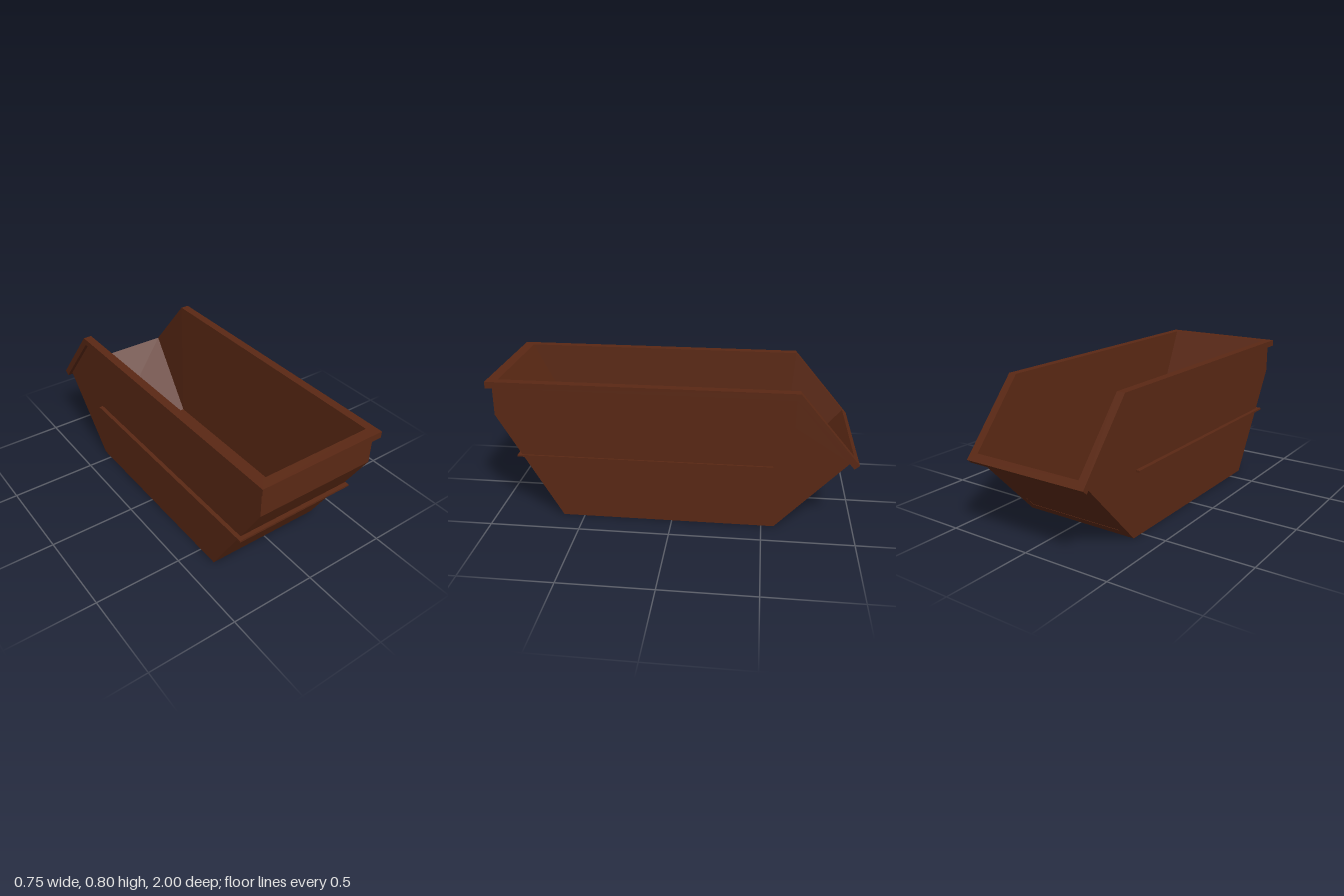
import * as THREE from 'three';

// Mirrored six-point ring from three stations [z, y]: front, bend, rear
function ring(halfWidth, front, bend, rear) {
  const side = [front, bend, rear].map(([z, y]) => new THREE.Vector3(halfWidth, y, z));
  const mirrored = side.map((p) => new THREE.Vector3(-p.x, p.y, p.z)).reverse();
  return [...side, ...mirrored];
}

// Faceted skin through a stack of rings, with optional end caps
function skin(rings, { capStart = false, capEnd = false } = {}) {
  const positions = [];
  const triangle = (a, b, c) => {
    const area = b.clone().sub(a).cross(c.clone().sub(a)).length();
    if (area > 1e-6) for (const p of [a, b, c]) positions.push(p.x, p.y, p.z);
  };
  for (let k = 0; k < rings.length - 1; k++) {
    const a = rings[k], b = rings[k + 1], n = a.length;
    for (let i = 0; i < n; i++) {
      const j = (i + 1) % n;
      triangle(a[i], a[j], b[j]);
      triangle(a[i], b[j], b[i]);
    }
  }
  const first = rings[0], last = rings[rings.length - 1];
  for (let i = 1; i < first.length - 1; i++) {
    if (capStart) triangle(first[0], first[i + 1], first[i]);
    if (capEnd) triangle(last[0], last[i], last[i + 1]);
  }
  const geometry = new THREE.BufferGeometry();
  geometry.setAttribute('position', new THREE.Float32BufferAttribute(positions, 3));
  geometry.computeVertexNormals();
  return geometry;
}

export function createModel() {
  const group = new THREE.Group();
  const material = new THREE.MeshStandardMaterial({ color: 0x5a2814, flatShading: true });
  const add = (name, geometry) => {
    const mesh = new THREE.Mesh(geometry, material);
    mesh.name = name;
    group.add(mesh);
  };

  // Rings from the underside, up over the rim and down to the inner floor
  const base = ring(0.35, [0.62, 0], [-0.57, 0], [-0.57, 0]);
  const knee = ring(0.35, [0.97, 0.6], [-0.653, 0.6], [-0.953, 0.41]);
  const hullTop = ring(0.35, [0.97, 0.76], [-0.653, 0.76], [-0.953, 0.41]);
  const rimBottom = ring(0.373, [1, 0.76], [-0.653, 0.76], [-0.973, 0.387]);
  const rimTop = ring(0.373, [1, 0.797], [-0.67, 0.797], [-1, 0.41]);
  const mouth = ring(0.325, [0.94, 0.797], [-0.67, 0.797], [-0.97, 0.445]);
  const floor = ring(0.293, [0.55, 0.05], [-0.62, 0.05], [-0.62, 0.05]);

  add('outerHull', skin([base, knee, hullTop], { capStart: true }));
  add('rim', skin([hullTop, rimBottom, rimTop, mouth]));
  add('innerLining', skin([mouth, floor], { capEnd: true }));

  // Thin U-shaped rib round the front and along both sides
  const outline = [
    [-0.373, -0.55], [-0.373, 0.86], [0.36, 0.86], [0.36, -0.55],
    [0.34, -0.55], [0.34, 0.8], [-0.34, 0.8], [-0.34, -0.55],
  ];
  const shape = new THREE.Shape(outline.map(([x, z]) => new THREE.Vector2(x, -z)));
  const rib = new THREE.ExtrudeGeometry(shape, { depth: 0.011, bevelEnabled: false });
  rib.rotateX(-Math.PI / 2).translate(0, 0.358, 0);
  add('reinforcingRib', rib);

  return group;
}
